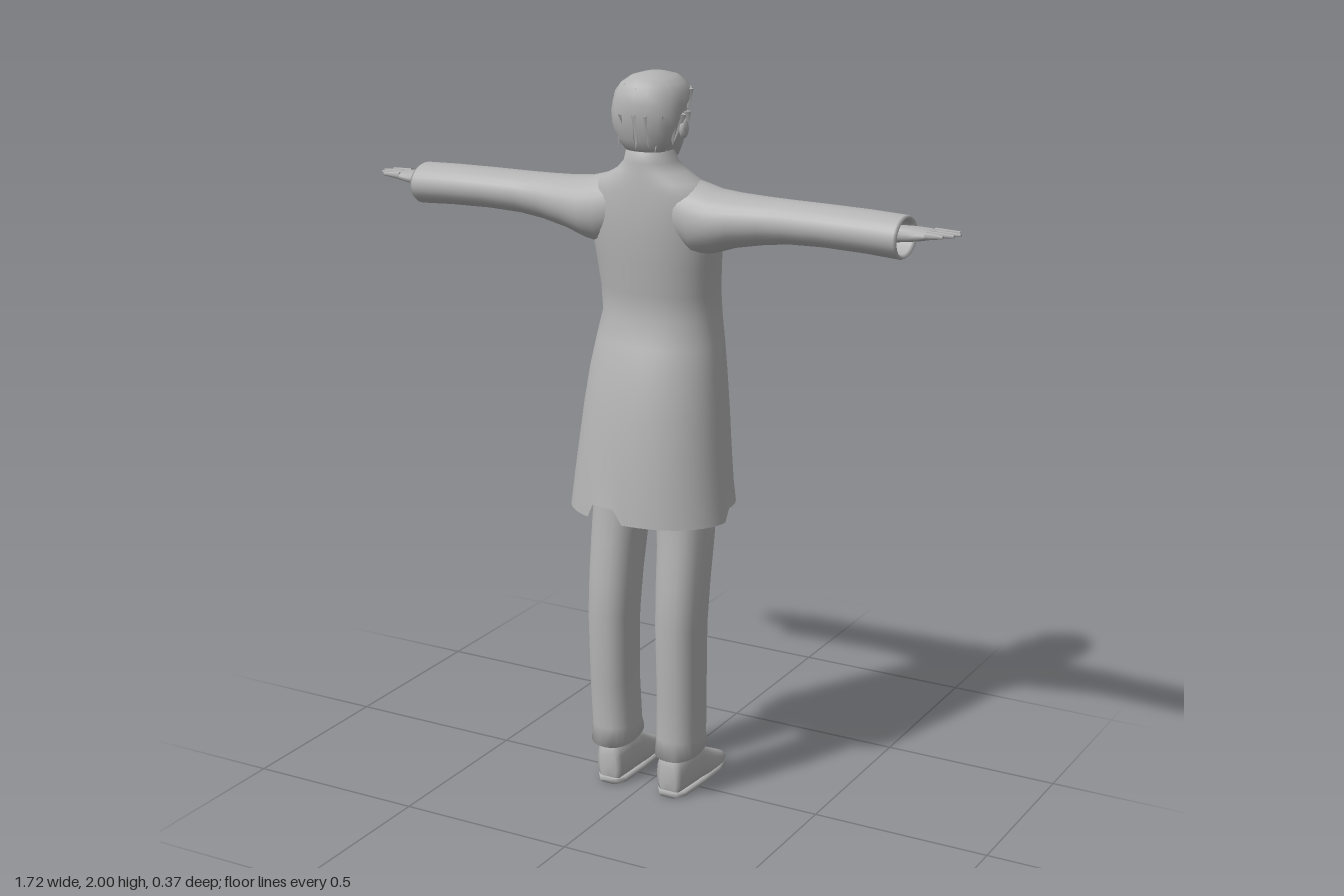
import * as THREE from 'three';

const grey = new THREE.MeshStandardMaterial({ color: 0xb4b4b4, side: THREE.DoubleSide });
grey.name = 'plainGrey';
const flatGrey = grey; // single colour throughout

// How a ring's [position, u range, v range] maps to x, y, z (u cross v = direction of travel)
const AXES = {
  up: (p, u, v) => [v, p, u],      // u = z, v = x, travels +y
  side: (p, u, v) => [p, u, v],    // u = y, v = z, travels +x
  forward: (p, u, v) => [v, u, p], // u = y, v = x, travels -z
};

// Skin over rounded rings [position, u0, u1, v0, v1]; power > 2 squares the ring
function loft(axis, rings, { seg = 24, power = 2, capStart = true, capEnd = true, bend } = {}) {
  const pos = [], index = [], map = AXES[axis];
  const round = (t) => Math.sign(t) * Math.abs(t) ** (2 / power);
  rings.forEach(([p, u0, u1, v0, v1], i) => {
    for (let j = 0; j < seg; j++) {
      const a = (j / seg) * Math.PI * 2;
      const q = map(p, (u0 + u1) / 2 + (u1 - u0) / 2 * round(Math.cos(a)),
        (v0 + v1) / 2 + (v1 - v0) / 2 * round(Math.sin(a)));
      if (bend) bend(q, i);
      pos.push(...q);
      if (i < rings.length - 1) {
        const k = (j + 1) % seg, n = i * seg;
        index.push(n + j, n + k, n + seg + j, n + k, n + seg + k, n + seg + j);
      }
    }
  });
  const cap = (i, flip) => {
    const [p, u0, u1, v0, v1] = rings[i], c = pos.length / 3;
    pos.push(...map(p, (u0 + u1) / 2, (v0 + v1) / 2));
    for (let j = 0; j < seg; j++) {
      const a = i * seg + j, b = i * seg + (j + 1) % seg;
      index.push(...(flip ? [c, b, a] : [c, a, b]));
    }
  };
  if (capStart) cap(0, true);
  if (capEnd) cap(rings.length - 1, false);
  const g = new THREE.BufferGeometry();
  g.setAttribute('position', new THREE.Float32BufferAttribute(pos, 3));
  g.setIndex(index);
  g.computeVertexNormals();
  return g;
}

function add(parent, name, geometry, position, scale) {
  const m = new THREE.Mesh(geometry, flatGrey);
  m.name = name;
  if (position) m.position.set(...position);
  if (scale) m.scale.set(...scale);
  parent.add(m);
  return m;
}

// Tapered rod between two points, used for fingers and hair tufts
function rod(parent, name, a, b, r0, r1, flat = 1, sides = 6) {
  const A = new THREE.Vector3(...a), B = new THREE.Vector3(...b), d = B.clone().sub(A);
  const m = add(parent, name, new THREE.CylinderGeometry(r1, r0, d.length(), sides));
  m.position.copy(A).add(B).multiplyScalar(0.5);
  m.quaternion.setFromUnitVectors(new THREE.Vector3(0, 1, 0), d.normalize());
  m.scale.z = flat;
  return m;
}

function buildCoat(root) {
  // y, front z, back z, half width
  const rows = [
    [0.81, -0.16, 0.19, 0.233], [0.9, -0.162, 0.182, 0.223], [1.0, -0.164, 0.17, 0.212],
    [1.1, -0.166, 0.155, 0.202], [1.2, -0.166, 0.135, 0.19], [1.28, -0.165, 0.11, 0.178],
    [1.35, -0.16, 0.085, 0.167], [1.42, -0.147, 0.09, 0.168], [1.5, -0.135, 0.1, 0.176],
    [1.58, -0.12, 0.105, 0.188], [1.64, -0.098, 0.106, 0.19], [1.69, -0.076, 0.102, 0.178],
    [1.72, -0.067, 0.1, 0.14], [1.745, -0.058, 0.096, 0.095], [1.77, -0.043, 0.094, 0.07],
    [1.8, -0.03, 0.09, 0.062], [1.798, -0.02, 0.08, 0.054], [1.75, -0.015, 0.075, 0.05],
  ];
  // Uneven hem: notch at the back, raised sides, pointed flap at the front
  const hem = (q, i) => {
    if (i) return;
    const [x, , z] = q;
    if (z > 0.03) q[1] = x > -0.1 && x < -0.005 ? 0.85 : 0.81;
    else q[1] = z < -0.12 && Math.abs(x) < 0.05 ? 0.775 : 0.845;
  };
  add(root, 'coat', loft('up', rows.map(([y, f, b, w]) => [y, f, b, -w, w]),
    { seg: 64, power: 2.15, capStart: false, capEnd: false, bend: hem }));
}

function buildArm(side) {
  // Sleeve with a turned-in open cuff
  add(side, 'sleeve', loft('side', [
    [0.08, 1.56, 1.735, -0.07, 0.09], [0.14, 1.53, 1.722, -0.085, 0.1], [0.19, 1.54, 1.708, -0.083, 0.098],
    [0.25, 1.56, 1.702, -0.08, 0.09], [0.33, 1.575, 1.698, -0.075, 0.074], [0.4, 1.585, 1.698, -0.066, 0.074],
    [0.5, 1.59, 1.699, -0.06, 0.083], [0.62, 1.588, 1.698, -0.056, 0.086], [0.715, 1.583, 1.695, -0.053, 0.088],
    [0.724, 1.588, 1.69, -0.048, 0.083], [0.715, 1.595, 1.683, -0.041, 0.076], [0.62, 1.6, 1.68, -0.036, 0.07],
  ], { seg: 28, capStart: false, capEnd: false }));
  // Wrist and palm
  add(side, 'palm', loft('side', [
    [0.6, 1.622, 1.668, -0.015, 0.045], [0.7, 1.625, 1.667, -0.018, 0.044], [0.735, 1.63, 1.667, -0.026, 0.048],
    [0.765, 1.636, 1.666, -0.03, 0.054], [0.795, 1.643, 1.664, -0.026, 0.052], [0.803, 1.648, 1.66, -0.022, 0.048],
  ], { seg: 14, power: 2.4 }));
  const fingers = [[-0.017, -0.022, 0.85], [0.004, 0.004, 0.862], [0.024, 0.027, 0.853], [0.043, 0.05, 0.833]];
  for (const [z0, z1, tip] of fingers) {
    rod(side, 'finger', [0.785, 1.655, z0], [tip, 1.657, z1], 0.0105, 0.0045);
  }
  rod(side, 'thumbBase', [0.735, 1.645, -0.01], [0.758, 1.638, -0.052], 0.018, 0.011);
  rod(side, 'thumb', [0.757, 1.638, -0.049], [0.772, 1.634, -0.083], 0.011, 0.005);
}

function buildLeg(side) {
  // Trouser leg with a slightly flared, open bottom
  add(side, 'trouserLeg', loft('up', [
    [0.3, -0.02, 0.09, 0.06, 0.14], [0.15, -0.03, 0.1, 0.045, 0.155],
    [0.13, -0.045, 0.118, 0.034, 0.168], [0.17, -0.037, 0.112, 0.038, 0.166],
    [0.3, -0.032, 0.118, 0.042, 0.169], [0.5, -0.033, 0.126, 0.04, 0.171], [0.62, -0.047, 0.117, 0.036, 0.173],
    [0.72, -0.066, 0.106, 0.032, 0.174], [0.82, -0.085, 0.095, 0.022, 0.174], [0.95, -0.095, 0.09, 0.005, 0.165],
  ], { seg: 24, power: 2.3, capStart: false, bend: (q, i) => { if (i === 2) q[1] += (0.04 - q[2]) * 0.2; } }));
  // Raised diamond fold behind the knee
  const fold = add(side, 'kneeFold', new THREE.OctahedronGeometry(0.06), [0.134, 0.52, 0.098], [0.55, 1, 0.3]);
  fold.rotation.y = 0.6;
  // Ankle and shoe
  add(side, 'ankle', new THREE.CylinderGeometry(0.036, 0.034, 0.14, 14), [0.097, 0.15, 0.045]);
  add(side, 'shoe', loft('forward', [
    [0.103, 0.005, 0.09, 0.07, 0.12], [0.094, 0, 0.125, 0.056, 0.134], [0.04, 0, 0.135, 0.051, 0.141],
    [-0.02, 0, 0.128, 0.049, 0.145], [-0.06, 0, 0.098, 0.05, 0.147], [-0.105, 0, 0.072, 0.053, 0.146],
    [-0.145, 0.002, 0.052, 0.06, 0.142], [-0.17, 0.007, 0.04, 0.073, 0.134], [-0.184, 0.014, 0.028, 0.09, 0.118],
  ], { seg: 20, power: 2.5 }));
  add(side, 'sole', loft('forward', [
    [0.104, 0, 0.02, 0.068, 0.122], [0.08, 0, 0.02, 0.05, 0.14], [-0.02, 0, 0.02, 0.047, 0.147],
    [-0.11, 0, 0.02, 0.05, 0.149], [-0.165, 0.003, 0.02, 0.068, 0.138], [-0.184, 0.01, 0.02, 0.088, 0.12],
  ], { seg: 16, power: 4 }));
}

function buildHead(root) {
  const head = new THREE.Group();
  head.name = 'head';
  root.add(head);
  const rows = (list) => list.map(([y, f, b, w]) => [y, f, b, -w, w]);
  add(head, 'neck', loft('up', rows([[1.7, -0.03, 0.085, 0.055], [1.76, -0.02, 0.08, 0.05], [1.84, -0.02, 0.08, 0.052]])));
  add(head, 'face', loft('up', rows([
    [1.753, -0.058, -0.025, 0.015], [1.762, -0.068, 0.0, 0.032], [1.78, -0.074, 0.035, 0.051],
    [1.81, -0.076, 0.07, 0.069], [1.84, -0.076, 0.09, 0.08], [1.865, -0.072, 0.1, 0.085],
    [1.9, -0.076, 0.104, 0.088], [1.94, -0.075, 0.1, 0.085], [1.97, -0.055, 0.08, 0.06],
  ])));
  add(head, 'hair', loft('up', rows([
    [1.8, 0.02, 0.088, 0.055], [1.83, 0.008, 0.105, 0.08], [1.87, 0.0, 0.115, 0.092], [1.9, -0.025, 0.119, 0.097],
    [1.925, -0.066, 0.119, 0.098], [1.95, -0.086, 0.115, 0.095], [1.972, -0.084, 0.102, 0.081],
    [1.988, -0.062, 0.078, 0.058], [1.997, -0.025, 0.04, 0.025],
  ]), { seg: 18, power: 2.15 }));
  // Fringe, side and nape tufts hanging around the hairline
  for (let i = 0; i < 18; i++) {
    const a = (i / 18) * Math.PI * 2, s = Math.sin(a), c = Math.cos(a);
    const sway = 0.012 * Math.sin(i * 2.7), front = c < -0.3;
    const low = front ? 1.885 + sway : c < 0.3 ? 1.835 + sway : 1.81 + sway;
    const r = front ? 0.99 : 0.93;
    rod(head, 'hairTuft', [0.09 * s, front ? 1.955 : 1.9, 0.015 + 0.095 * c],
      [0.09 * s * r + sway, low, 0.015 + 0.098 * c * r], 0.02, 0.001, 0.6, 4);
  }
  // Small locks lifting off the crown
  for (let i = 0; i < 8; i++) {
    const a = i * 2.4, s = Math.sin(a), c = Math.cos(a), y = 1.965 + 0.01 * Math.sin(i * 3);
    rod(head, 'crownLock', [0.03 * s, 1.98, 0.01 + 0.04 * c], [0.082 * s, y, 0.012 + 0.096 * c], 0.014, 0.001, 0.6, 4);
  }
  // Nose, mouth, eyes, brows and ears
  rod(head, 'nose', [0, 1.872, -0.068], [0, 1.832, -0.083], 0.005, 0.009, 1, 4);
  add(head, 'mouth', new THREE.SphereGeometry(1, 10, 6), [0, 1.797, -0.074], [0.02, 0.004, 0.005]);
  for (const s of [-1, 1]) {
    add(head, 'eye', new THREE.SphereGeometry(1, 10, 8), [s * 0.034, 1.866, -0.064], [0.016, 0.008, 0.005]);
    const brow = add(head, 'brow', new THREE.BoxGeometry(0.034, 0.005, 0.008), [s * 0.036, 1.884, -0.067]);
    brow.rotation.y = s * -0.4;
    add(head, 'ear', new THREE.SphereGeometry(1, 10, 8), [s * 0.094, 1.858, 0.02], [0.011, 0.026, 0.018]);
  }
}

export function createModel() {
  const root = new THREE.Group();
  root.name = 'figure';
  buildCoat(root);
  buildHead(root);
  // Hips closing the trousers inside the coat
  add(root, 'hips', loft('up', [
    [0.85, -0.06, 0.08, -0.12, 0.12], [0.9, -0.1, 0.1, -0.165, 0.165], [1.15, -0.1, 0.08, -0.14, 0.14],
  ]));
  for (const s of [1, -1]) {
    const side = new THREE.Group();
    side.name = s > 0 ? 'leftLimbs' : 'rightLimbs';
    side.scale.x = s;
    buildArm(side);
    buildLeg(side);
    root.add(side);
  }
  return root;
}
